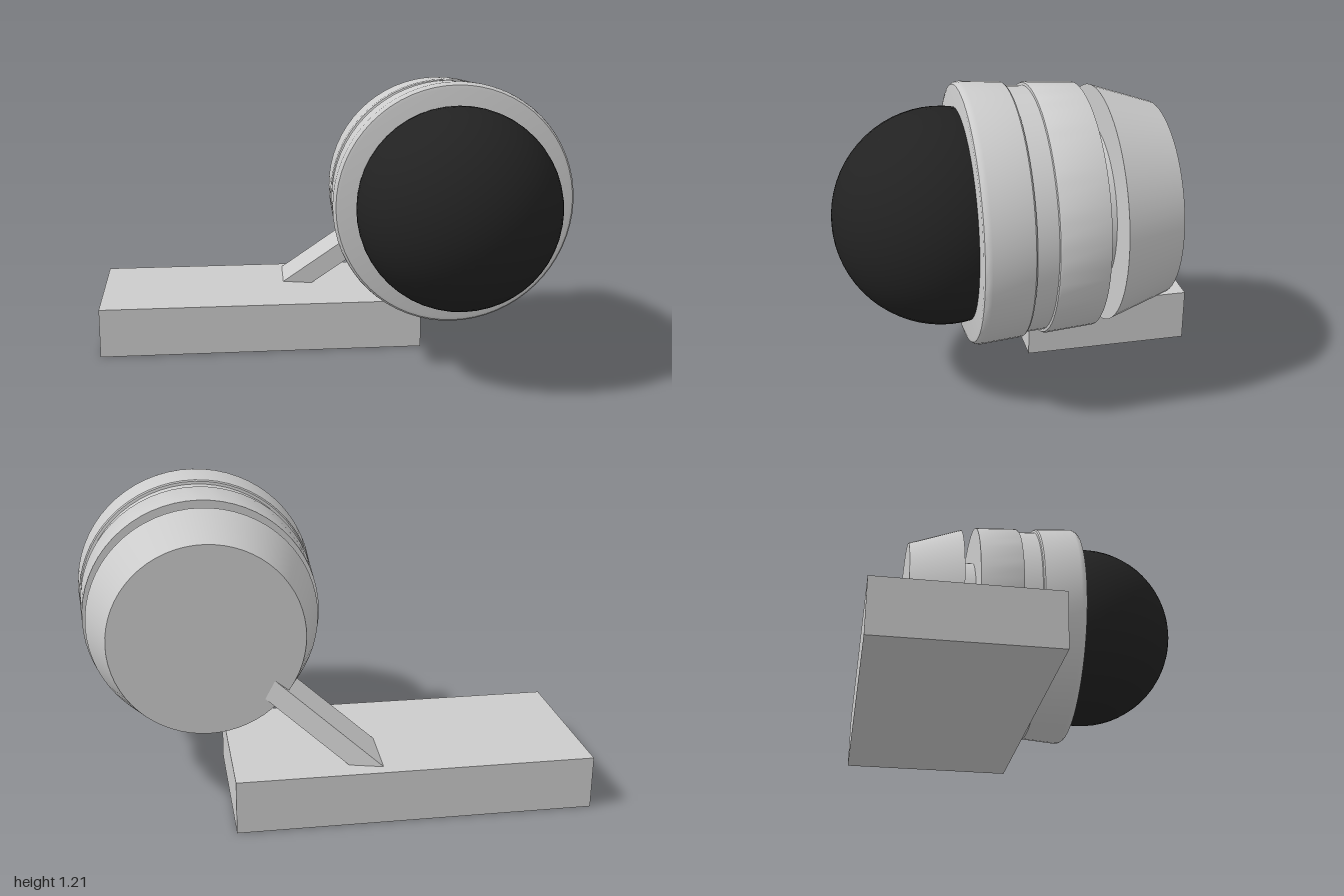
import * as THREE from 'three';
import { toCreasedNormals } from 'three/addons/utils/BufferGeometryUtils.js';

export function createModel() {
  const group = new THREE.Group();
  const grey = new THREE.MeshStandardMaterial({ color: 0xcccccc });
  const black = new THREE.MeshStandardMaterial({ color: 0x222222 });
  const axisX = 0.49, axisY = 0.71;

  function add(name, geometry, material, x, y, z) {
    const mesh = new THREE.Mesh(geometry, material);
    mesh.name = name;
    mesh.position.set(x, y, z);
    group.add(mesh);
  }

  // A body turned around the z axis from [z, radius] pairs, back to front
  function turned(profile) {
    const points = profile.map(([z, r]) => new THREE.Vector2(r, z));
    const geometry = new THREE.LatheGeometry(points, 64);
    geometry.rotateX(Math.PI / 2);
    return toCreasedNormals(geometry, 0.6);
  }

  // Flat rectangular base
  add('base', new THREE.BoxGeometry(1.41, 0.213, 0.673), grey, -0.295, 0.1065, -0.393);

  // Slanted support arm: a box sheared along its rise into the housing
  const arm = new THREE.BoxGeometry(1, 1, 1);
  arm.applyMatrix4(new THREE.Matrix4().makeBasis(
    new THREE.Vector3(0.13, 0, 0.035),
    new THREE.Vector3(0.45, 0.36, 0.173),
    new THREE.Vector3(-0.01, 0, 0.26)
  ));
  add('supportArm', arm, grey, 0.115, 0.391, -0.446);

  // Tapered cap at the back
  add('rearCap', turned([
    [-0.525, 0], [-0.525, 0.38], [-0.29, 0.46], [-0.29, 0]
  ]), grey, axisX, axisY, 0);

  // Narrow neck between the cap and the housing
  add('neck', turned([[-0.3, 0.31], [-0.21, 0.31]]), grey, axisX, axisY, 0);

  // Housing with two raised rings and a rounded front rim
  add('housing', turned([
    [-0.222, 0], [-0.222, 0.474], [-0.04, 0.486], [-0.032, 0.482],
    [-0.03, 0.472], [0.05, 0.476], [0.052, 0.487], [0.058, 0.492],
    [0.215, 0.504], [0.23, 0.501], [0.24, 0.493], [0.243, 0.48], [0.243, 0]
  ]), grey, axisX, axisY, 0);

  // Dark ball lens, with its poles on the housing axis
  const ball = new THREE.SphereGeometry(0.416, 48, 32);
  ball.rotateX(Math.PI / 2);
  add('ballLens', ball, black, axisX, axisY, 0.314);

  return group;
}
